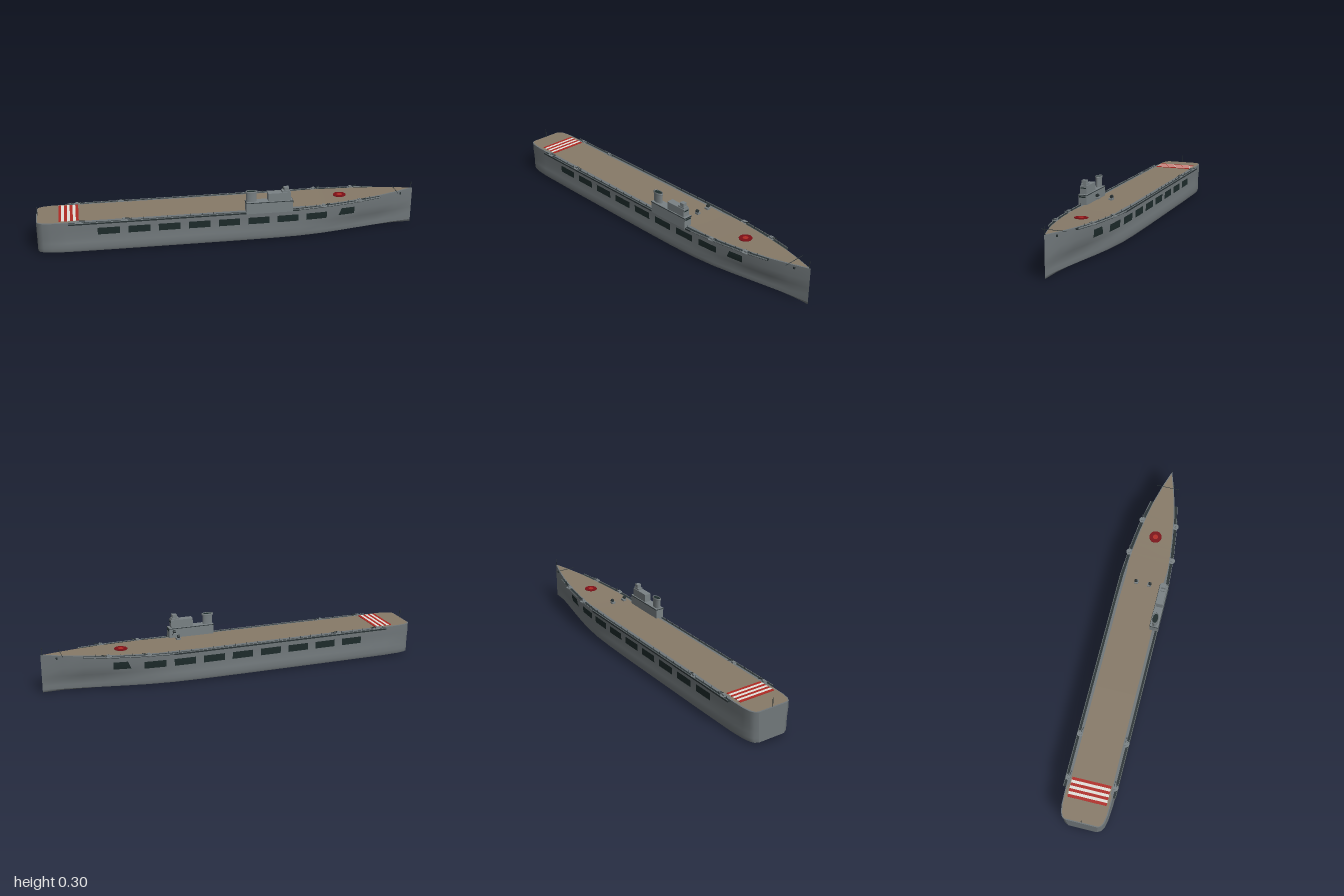
import * as THREE from 'three';

const mat = (name, color, side = THREE.FrontSide) => {
  const m = new THREE.MeshStandardMaterial({ color, side });
  m.name = name;
  return m;
};

// stations along the hull: x, half width at deck, half width at bilge
const STATIONS = [
  [-1, 0.082, 0.075], [-0.99, 0.1, 0.094], [-0.97, 0.111, 0.106], [-0.93, 0.118, 0.115], [-0.85, 0.12, 0.121],
  [-0.6, 0.12, 0.123], [-0.3, 0.12, 0.123], [0, 0.12, 0.123], [0.2, 0.12, 0.121], [0.35, 0.117, 0.115],
  [0.48, 0.109, 0.1], [0.6, 0.095, 0.078], [0.7, 0.08, 0.057], [0.8, 0.06, 0.036], [0.9, 0.033, 0.016], [1, 0.0005, 0.0005],
];
function widths(x) {
  let i = 0;
  while (i < STATIONS.length - 2 && STATIONS[i + 1][0] < x) i++;
  const [a, b] = [STATIONS[i], STATIONS[i + 1]];
  const t = (x - a[0]) / (b[0] - a[0]);
  return [a[1] + (b[1] - a[1]) * t, a[2] + (b[2] - a[2]) * t];
}
// the deck rises gently toward the bow
const deckY = (x) => 0.173 + (x > 0.25 ? 0.025 * ((x - 0.25) / 0.75) ** 1.5 : 0);

// half section from deck edge to bilge, as [y, halfWidth]
function section(x) {
  const [t, b] = widths(x);
  const mid = t * 0.55 + b * 0.45;
  return [[deckY(x), t], [0.13, t * 0.99 + b * 0.01], [0.085, mid * 0.985], [0.062, b * 1.02], [0.035, b * 1.02], [0.02, b * 1.01], [0.012, b * 0.98]];
}
function sideWidth(x, y) {
  const s = section(x);
  for (let i = 0; i < s.length - 1; i++) {
    if (y <= s[i][0] && y >= s[i + 1][0]) {
      return THREE.MathUtils.lerp(s[i + 1][1], s[i][1], (y - s[i + 1][0]) / (s[i][0] - s[i + 1][0]));
    }
  }
  return s[0][1];
}

// surface through equal rows of points
function grid(rows) {
  const n = rows[0].length, idx = [];
  for (let i = 0; i < rows.length - 1; i++) {
    for (let j = 0; j < n - 1; j++) {
      const a = i * n + j, b = a + n;
      idx.push(a, a + 1, b, b, a + 1, b + 1);
    }
  }
  const g = new THREE.BufferGeometry();
  g.setAttribute('position', new THREE.Float32BufferAttribute(rows.flat(2), 3));
  g.setIndex(idx);
  g.computeVertexNormals();
  return g;
}

export function createModel() {
  const ship = new THREE.Group();
  ship.name = 'carrier';
  const hullGrey = mat('hull grey', 0x70777a);
  const grey = mat('fitting grey', 0x7a8285, THREE.DoubleSide);
  const dark = mat('dark steel', 0x2b3436);
  const opening = mat('opening dark', 0x1d2b2b);
  const wood = mat('deck wood', 0x877a68);
  const red = mat('marking red', 0xb02a24);
  const deepRed = mat('deep red', 0x7c0f16);
  const white = mat('marking white', 0xe2e0da);

  const add = (name, geo, m, x = 0, y = 0, z = 0, parent = ship) => {
    const mesh = new THREE.Mesh(geo, m);
    mesh.name = name;
    mesh.position.set(x, y, z);
    parent.add(mesh);
    return mesh;
  };
  const box = (name, m, x0, x1, y0, y1, z0, z1, parent) =>
    add(name, new THREE.BoxGeometry(x1 - x0, y1 - y0, z1 - z0), m, (x0 + x1) / 2, (y0 + y1) / 2, (z0 + z1) / 2, parent);
  // straight bar between two points
  const bar = (name, m, a, b, h, w, parent = ship) => {
    const A = new THREE.Vector3(...a), B = new THREE.Vector3(...b);
    const mesh = add(name, new THREE.BoxGeometry(w, h, A.distanceTo(B)), m, 0, 0, 0, parent);
    mesh.position.copy(A).add(B).multiplyScalar(0.5);
    mesh.lookAt(B);
    return mesh;
  };

  // hull sides, bottom, top and transom
  const xs = STATIONS.map((s) => s[0]);
  const half = (x, s) => section(x).map(([y, w]) => [x, y, w * s]);
  add('hullLeftSide', grid(xs.map((x) => half(x, 1))), hullGrey);
  add('hullRightSide', grid(xs.map((x) => half(x, -1).reverse())), hullGrey);
  add('hullBottom', grid(xs.map((x) => {
    const w = section(x)[6][1];
    return [[x, 0.012, w], [x, 0.004, w * 0.6], [x, 0, 0], [x, 0.004, -w * 0.6], [x, 0.012, -w]];
  })), hullGrey);
  add('transom', grid([half(-1, -1), half(-1, 1)]), hullGrey);
  const plate = (list, inset, lift) => grid(list.map((x) => {
    const w = Math.max(widths(x)[0] - inset(x), 0.0003);
    return [[x, deckY(x) + lift, -w], [x, deckY(x) + lift, w]];
  }));
  add('hullTop', plate(xs, () => 0, 0), hullGrey);

  // planked flight deck, inset where the catwalks run
  const deckXs = [-0.995, ...xs.slice(1, -1), 0.985].concat([-0.84, -0.82, 0.42, 0.54]).sort((a, b) => a - b);
  add('flightDeck', plate(deckXs, (x) => (x < -0.83 ? 0.006 : x < 0.4 ? 0.014 : 0.005), 0.002), wood);

  // landing stripes and roundel
  for (let i = 0; i < 7; i++) {
    const x = -0.888 + i * 0.0146;
    box('deckStripe', i % 2 ? white : red, x, x + 0.0146, 0.1755, 0.178, -0.1, 0.1);
  }
  const tilt = Math.atan2(deckY(0.63) - deckY(0.56), 0.07);
  add('roundel', new THREE.CylinderGeometry(0.034, 0.034, 0.004, 12), deepRed, 0.595, deckY(0.595) + 0.003, 0).rotation.z = tilt;
  add('roundelCentre', new THREE.CylinderGeometry(0.014, 0.014, 0.002, 12), red, 0.595, deckY(0.595) + 0.005, 0).rotation.z = tilt;

  // hangar openings along each side
  const openings = [];
  for (let i = 0; i < 8; i++) openings.push([-0.695 + i * 0.155, -0.583 + i * 0.155, 0.102, 0.139, 0]);
  openings.push([0.567, 0.656, 0.109, 0.148, 0.016]);
  for (const [x0, x1, y0, y1, slant] of openings) {
    for (const s of [1, -1]) {
      const rows = [];
      for (let i = 0; i <= 4; i++) {
        const col = [y1, (y0 + y1) / 2, y0].map((y, j) => {
          const x = THREE.MathUtils.lerp(x0 + slant * (1 - j / 2), x1, i / 4);
          return [x, y, s * (sideWidth(x, y) + 0.004)];
        });
        rows.push(s > 0 ? col : col.reverse());
      }
      add('hangarOpening', grid(rows), opening);
    }
  }

  // catwalks, railing posts and gun mounts on both sides
  const edge = [[-0.84, 0.124], [0.35, 0.124], [0.5, 0.114], [0.65, 0.096], [0.8, 0.066]];
  const edgeZ = (x) => {
    let i = 0;
    while (i < edge.length - 2 && edge[i + 1][0] < x) i++;
    return THREE.MathUtils.mapLinear(x, edge[i][0], edge[i + 1][0], edge[i][1], edge[i + 1][1]);
  };
  for (const s of [1, -1]) {
    for (let i = 0; i < edge.length - 1; i++) {
      const [[xa, za], [xb, zb]] = [edge[i], edge[i + 1]];
      const [ya, yb] = [deckY(xa) - 0.005, deckY(xb) - 0.005];
      bar('catwalk', dark, [xa, ya, s * za], [xb, yb, s * zb], 0.007, i ? 0.014 : 0.024);
      bar('catwalkRim', grey, [xa, ya + 0.003, s * (za + 0.009)], [xb, yb + 0.003, s * (zb + 0.009)], 0.006, 0.002);
    }
    for (let x = -0.82; x < 0.8; x += 0.06) {
      const y = deckY(x);
      box('railPost', dark, x - 0.0008, x + 0.0008, y - 0.005, y + 0.011, s * edgeZ(x) - 0.0008, s * edgeZ(x) + 0.0008);
    }
    for (const x of [-0.79, -0.56, 0.48, 0.68]) {
      const gun = new THREE.Group();
      gun.name = 'gunMount';
      gun.position.set(x, deckY(x) - 0.004, s * Math.min(edgeZ(x) + 0.002, 0.118));
      ship.add(gun);
      add('gunPlatform', new THREE.CylinderGeometry(0.018, 0.015, 0.008, 12), grey, 0, 0, 0, gun);
      add('gunHouse', new THREE.BoxGeometry(0.016, 0.009, 0.014), grey, 0, 0.008, 0, gun);
      for (const d of [-0.004, 0.004]) {
        bar('gunBarrel', dark, [0.004, 0.009, d], [0.034, 0.012, d], 0.002, 0.002, gun);
      }
    }
    // signal lamps
    box('lampBox', grey, 0.29, 0.312, 0.211, 0.22, s > 0 ? 0.025 : -0.045, s > 0 ? 0.045 : -0.025);
    add('lamp', new THREE.CylinderGeometry(0.008, 0.008, 0.012, 12), dark, 0.301, 0.228, s * 0.038).rotation.z = Math.PI / 2;
    // anchors
    box('anchor', dark, 0.921, 0.929, 0.175, 0.185, s * 0.027 - 0.003, s * 0.027 + 0.003);
  }

  // island
  const island = new THREE.Group();
  island.name = 'island';
  ship.add(island);
  box('islandBase', grey, 0.068, 0.312, 0.165, 0.224, 0.092, 0.137, island);
  box('islandLedge', dark, 0.066, 0.314, 0.223, 0.226, 0.09, 0.139, island);
  box('islandRoof', grey, 0.068, 0.312, 0.226, 0.228, 0.092, 0.137, island);
  box('bridge', grey, 0.182, 0.3, 0.225, 0.27, 0.097, 0.133, island);
  box('bridgeTop', grey, 0.255, 0.296, 0.27, 0.279, 0.101, 0.129, island);
  box('director', grey, 0.266, 0.291, 0.279, 0.297, 0.104, 0.127, island);
  box('bridgeWindows', opening, 0.312, 0.314, 0.212, 0.219, 0.097, 0.132, island);
  box('upperWindows', opening, 0.3, 0.302, 0.256, 0.261, 0.101, 0.129, island);
  const funnelProfile = [[0.027, 0.225], [0.027, 0.272], [0.031, 0.275], [0.031, 0.284], [0.026, 0.284], [0.026, 0.278]];
  const funnel = add('funnel', new THREE.LatheGeometry(funnelProfile.map((p) => new THREE.Vector2(...p)), 24), grey, 0.096, 0, 0.114, island);
  const mouth = add('funnelMouth', new THREE.CylinderGeometry(0.027, 0.027, 0.003, 24), opening, 0.096, 0.28, 0.114, island);
  funnel.scale.z = mouth.scale.z = 0.52;

  // bow and stern staffs, bow yard
  box('bowStaff', dark, 0.99, 0.993, 0.195, 0.234, -0.001, 0.001);
  box('sternStaff', dark, -0.996, -0.993, 0.172, 0.22, -0.001, 0.001);
  box('bowYard', dark, 0.899, 0.901, 0.196, 0.198, -0.062, 0.062);
  return ship;
}
